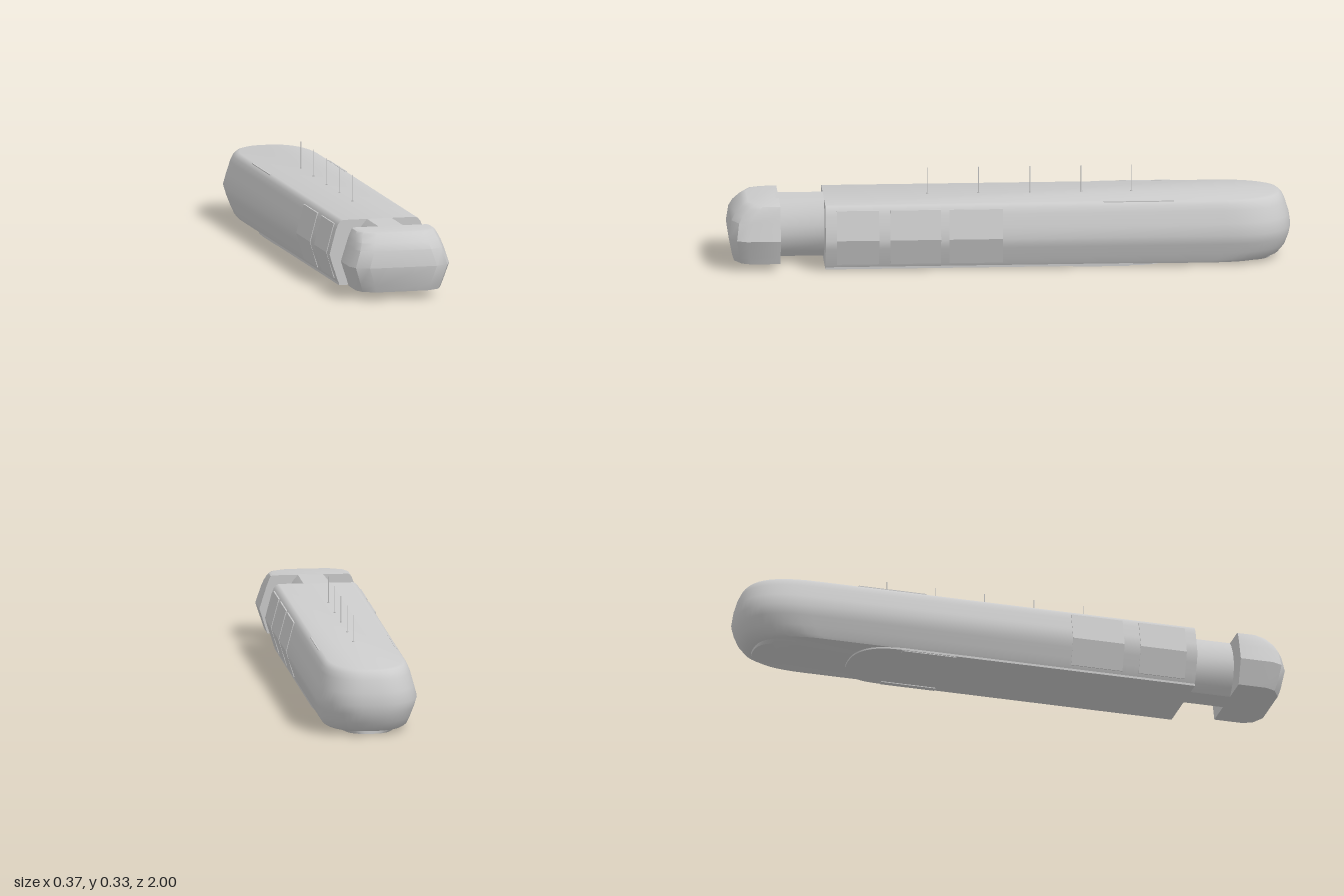
import * as THREE from 'three';
import { toCreasedNormals } from 'three/addons/utils/BufferGeometryUtils.js';

const material = new THREE.MeshStandardMaterial({ color: 0xcccccc });

// Skin closed convex rings (counterclockwise from above) stacked bottom to top
function loft(rings, crease) {
  const n = rings[0].length, index = [];
  for (let i = 0; i < rings.length - 1; i++) {
    for (let j = 0; j < n; j++) {
      const a = i * n + j, b = i * n + (j + 1) % n;
      index.push(a, b, b + n, a, b + n, a + n);
    }
  }
  const top = (rings.length - 1) * n;
  for (let j = 1; j < n - 1; j++) {
    index.push(0, j + 1, j, top, top + j, top + j + 1);
  }
  const g = new THREE.BufferGeometry();
  g.setAttribute('position', new THREE.Float32BufferAttribute(rings.flat(2), 3));
  g.setIndex(index);
  return toCreasedNormals(g, crease);
}

// Outline with a flat front and a rounded rear
function roundedRear(y, w, front, rear, depth) {
  const pts = [[w, y, front]], steps = 24;
  for (let i = 0; i <= steps; i++) {
    const a = Math.PI * i / steps, c = Math.cos(a), s = Math.max(0, Math.sin(a));
    pts.push([Math.sign(c) * w * Math.abs(c) ** 0.8, y, rear + depth * (1 - s ** 0.8)]);
  }
  pts.push([-w, y, front]);
  return pts;
}

// Outline with a flat back and chamfered front corners
function chamferedFront(y, w, front) {
  const back = 0.82;
  return [[-w, y, back], [-w, y, front - 0.06], [-w + 0.015, y, front - 0.025], [-w + 0.06, y, front],
    [w - 0.06, y, front], [w - 0.015, y, front - 0.025], [w, y, front - 0.06], [w, y, back]];
}

export function createModel() {
  const model = new THREE.Group();
  const add = (name, geometry, x = 0, y = 0, z = 0) => {
    const mesh = new THREE.Mesh(geometry, material);
    mesh.name = name;
    mesh.position.set(x, y, z);
    model.add(mesh);
    return mesh;
  };

  // Long hull: y, half width, rear end
  const hull = [[0.012, 0.147, -0.93], [0.022, 0.152, -0.957], [0.05, 0.161, -0.98], [0.085, 0.173, -0.993],
    [0.118, 0.182, -1], [0.16, 0.171, -0.994], [0.205, 0.159, -0.98], [0.225, 0.151, -0.97],
    [0.236, 0.142, -0.958], [0.24, 0.133, -0.945]];
  add('hull', loft(hull.map(([y, w, r]) => roundedRear(y, w, 0.66, r, 0.23)), 0.68));

  // Flat plate under the hull and a shallow pad below its rear
  add('basePlate', loft([0.006, 0.015].map(y => roundedRear(y, 0.148, 0.66, -0.58, 0.16)), 0.5));
  add('rearPad', loft([[0.002, 0.085], [0.014, 0.11]].map(([y, w]) => roundedRear(y, w, -0.8, -0.93, 0.1)), 0.5));

  // Bulging neck joining head and hull
  const neck = [[0.03, 0.045], [0.055, 0.068], [0.085, 0.086], [0.12, 0.095],
    [0.155, 0.092], [0.19, 0.08], [0.22, 0.062], [0.24, 0.045]];
  add('neck', loft(neck.map(([y, w]) =>
    [[w, y, 0.65], [-w, y, 0.65], [-w, y, 0.83], [w, y, 0.83]]), 0.6));

  // Head block: y, half width, front end
  const head = [[0.03, 0.154, 0.982], [0.055, 0.162, 0.99], [0.12, 0.183, 1], [0.18, 0.164, 0.992],
    [0.205, 0.156, 0.978], [0.228, 0.147, 0.955], [0.237, 0.142, 0.943], [0.24, 0.134, 0.932]];
  add('head', loft(head.map(([y, w, f]) => chamferedFront(y, w, f)), 0.58));

  // Thin side panels that follow the hull section
  const sidePanel = (side, z0, z1) => {
    const pts = [[0.145, 0.025], [0.156, 0.025], [0.184, 0.119], [0.157, 0.222], [0.147, 0.222]];
    if (side < 0) pts.reverse();
    const shape = new THREE.Shape(pts.map(([x, y]) => new THREE.Vector2(side * x, y)));
    add(side > 0 ? 'leftPanel' : 'rightPanel',
      new THREE.ExtrudeGeometry(shape, { depth: z1 - z0, bevelEnabled: false }), 0, 0, z0);
  };
  [[0.47, 0.62], [0.25, 0.43], [0.03, 0.22]].forEach(([a, b]) => sidePanel(1, a, b));
  [[0.45, 0.62], [0.2, 0.39]].forEach(([a, b]) => sidePanel(-1, a, b));

  // Trim strips on the top edges and skids under the hull
  for (const side of [-1, 1]) {
    add('topTrim', new THREE.BoxGeometry(0.006, 0.006, 0.25), side * 0.138, 0.237, -0.455);
    add('skid', new THREE.BoxGeometry(0.02, 0.012, 0.2), side * 0.135, 0.009, -0.32);
  }

  // Row of fine masts along the centre line
  for (const z of [0.29, 0.108, -0.075, -0.257, -0.435]) {
    add('mast', new THREE.CylinderGeometry(0.0015, 0.0015, 0.1, 6), 0, 0.286, z);
    add('mastFoot', new THREE.CylinderGeometry(0.004, 0.004, 0.004, 8), 0, 0.241, z);
  }
  return model;
}
